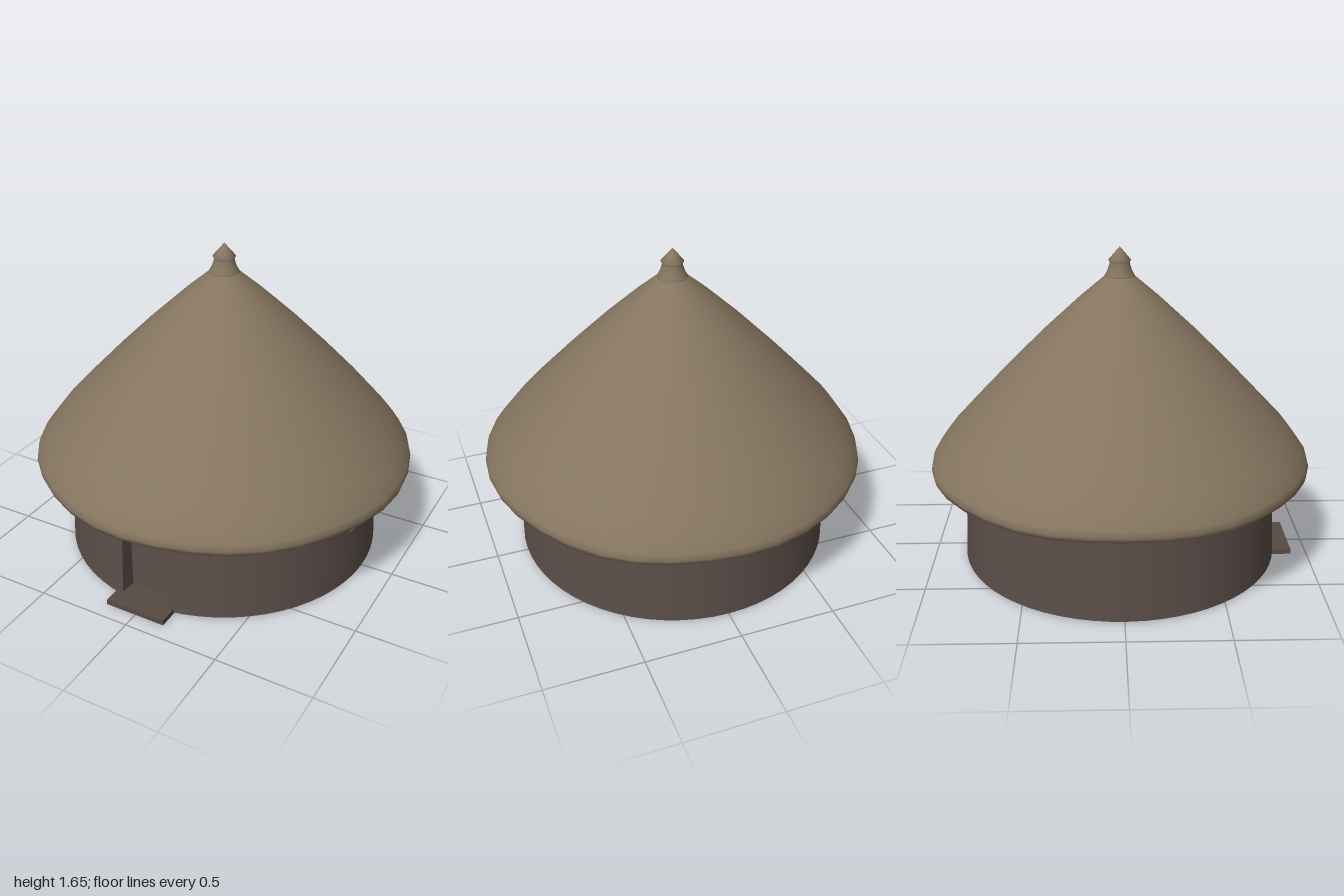
import * as THREE from 'three';

const mat = (name, color, side = THREE.FrontSide) => {
  const m = new THREE.MeshStandardMaterial({ color, side });
  m.name = name;
  return m;
};

const WALL_BASE = 0.007, WALL_TOP = 0.51, DOOR_TOP = 0.44, DOOR_ANGLE = 0.157;
const wallRadius = (y) => 0.837 - 0.047 * (y - WALL_BASE);
const v2 = ([x, y]) => new THREE.Vector2(x, y);

// Open ring of wall between two heights
function ring(y0, y1, start, length, segments, offset = 0) {
  const g = new THREE.CylinderGeometry(wallRadius(y1) + offset, wallRadius(y0) + offset,
    y1 - y0, segments, 1, true, start, length);
  return g.translate(0, (y0 + y1) / 2, 0);
}

// Flat four-cornered face
function quad(a, b, c, d) {
  const g = new THREE.BufferGeometry();
  g.setAttribute('position', new THREE.Float32BufferAttribute([...a, ...b, ...c, ...d], 3));
  g.setIndex([0, 1, 2, 0, 2, 3]);
  g.computeVertexNormals();
  return g;
}

export function createModel() {
  const model = new THREE.Group();
  model.name = 'roundHut';
  const thatch = mat('thatch', 0x85755f);
  const mud = mat('mudWall', 0x5b4e49, THREE.DoubleSide);
  const plank = mat('stepWood', 0x564b41);

  const add = (name, geometry, material, parent = model) => {
    const mesh = new THREE.Mesh(geometry, material);
    mesh.name = name;
    parent.add(mesh);
    return mesh;
  };

  // Wall with a doorway cut out at the front
  const walls = new THREE.Group();
  walls.name = 'walls';
  model.add(walls);
  const gap = 2 * DOOR_ANGLE;
  add('wallLower', ring(WALL_BASE, DOOR_TOP, DOOR_ANGLE, Math.PI * 2 - gap, 60), mud, walls);
  add('wallUpper', ring(DOOR_TOP, WALL_TOP, DOOR_ANGLE, Math.PI * 2 - gap, 60), mud, walls);
  add('wallOverDoor', ring(DOOR_TOP, WALL_TOP, -DOOR_ANGLE, gap, 4), mud, walls);

  // Recessed doorway: jambs, lintel and door panel
  const doorway = new THREE.Group();
  doorway.name = 'doorway';
  model.add(doorway);
  const backX = 0.122, backZ = 0.745;
  const edge = (side, y) => [side * wallRadius(y) * Math.sin(DOOR_ANGLE), y,
    wallRadius(y) * Math.cos(DOOR_ANGLE)];
  for (const side of [-1, 1]) {
    add(side > 0 ? 'leftJamb' : 'rightJamb', quad(edge(side, WALL_BASE),
      [side * backX, WALL_BASE, backZ], [side * backX, DOOR_TOP, backZ], edge(side, DOOR_TOP)),
    mud, doorway);
  }
  add('doorPanel', quad([-backX, WALL_BASE, backZ], [backX, WALL_BASE, backZ],
    [backX, DOOR_TOP, backZ], [-backX, DOOR_TOP, backZ]), mud, doorway);
  const lintel = new THREE.Shape();
  lintel.moveTo(-backX, backZ);
  lintel.lineTo(backX, backZ);
  lintel.absarc(0, 0, wallRadius(DOOR_TOP), Math.PI / 2 - DOOR_ANGLE, Math.PI / 2 + DOOR_ANGLE);
  add('lintel', new THREE.ShapeGeometry(lintel, 4).rotateX(Math.PI / 2).translate(0, DOOR_TOP, 0),
    mud, doorway);

  // Door step
  add('doorStep', new THREE.BoxGeometry(0.33, 0.027, 0.2).translate(0, 0.0135, 0.82), plank);

  // Thatched roof: inner lining, rolled eave and gently bowed outer slope
  const roofProfile = [
    [0.05, 1.44], [0.8, 0.51], [0.86, 0.488], [0.92, 0.481], [0.965, 0.484], [0.99, 0.497],
    [0.998, 0.522], [0.99, 0.553], [0.95, 0.612], [0.89, 0.69], [0.76, 0.835], [0.575, 1.03],
    [0.39, 1.215], [0.2, 1.392], [0.077, 1.497],
  ].map(v2);
  const roof = new THREE.LatheGeometry(roofProfile, 36);
  const p = roof.attributes.position;
  for (let i = 0; i < p.count; i++) {
    const x = p.getX(i), z = p.getZ(i), r = Math.hypot(x, z);
    const a = Math.atan2(x, z), amount = r > 0.85 ? 1 : 0;
    const k = 1 + amount * 0.003 * Math.sin(5 * a + 1);
    p.setXYZ(i, x * k, p.getY(i) + amount * 0.005 * Math.sin(7 * a), z * k);
  }
  add('thatchedRoof', roof, thatch);

  // Finial: flared collar and pointed knob
  const finial = new THREE.Group();
  finial.name = 'finial';
  model.add(finial);
  add('finialCollar', new THREE.LatheGeometry(
    [[0.05, 1.492], [0.077, 1.494], [0.077, 1.5], [0.063, 1.525], [0.053, 1.555], [0.05, 1.575]].map(v2),
    24), thatch, finial);
  add('finialKnob', new THREE.LatheGeometry(
    [[0.045, 1.56], [0.058, 1.579], [0.03, 1.612], [0, 1.647]].map(v2), 24), thatch, finial);

  // Small straw flecks showing through the wall: angle, height, arc, tall
  const flecks = [
    [1.46, 0.362, 0.08, 0.01], [1.41, 0.298, 0.08, 0.012],
    [1.78, 0.298, 0.08, 0.012], [1.85, 0.362, 0.04, 0.01], [-0.53, 0.292, 0.02, 0.014],
  ];
  for (const [angle, y, arc, tall] of flecks) {
    add('strawFleck', ring(y - tall / 2, y + tall / 2, angle - arc / 2, arc, 2, 0.002), thatch, walls);
  }

  // Eave overhang settles the whole hut slightly off the middle
  for (const part of model.children) part.position.set(-0.003, 0, -0.005);
  return model;
}
